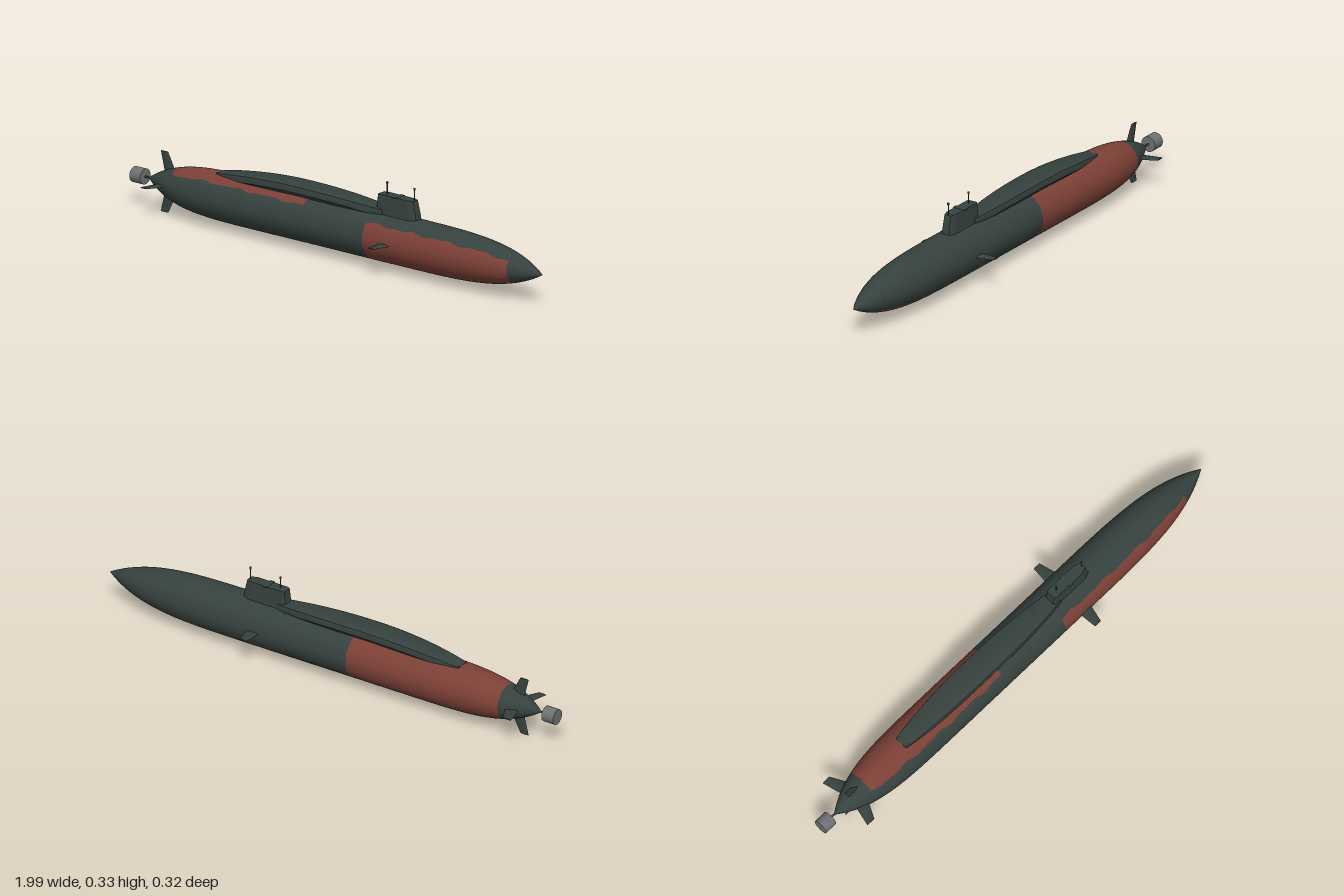
import * as THREE from 'three';
import { toCreasedNormals } from 'three/addons/utils/BufferGeometryUtils.js';

const AXIS_Y = 0.117, RADIUS = 0.094, STERN = -0.93, BOW = 0.99;

const material = (name, color) => {
  const m = new THREE.MeshStandardMaterial({ color });
  m.name = name;
  return m;
};

// Hull radius: parallel middle body, tapering to a point at each end
function hullRadius(x) {
  if (x > 0.2) return RADIUS * (1 - Math.min(1, (x - 0.2) / (BOW - 0.2)) ** 4.9);
  if (x < -0.3) return RADIUS * (1 - Math.min(1, (x + 0.3) / (STERN + 0.3)) ** 4.8);
  return RADIUS;
}

// Piece of hull skin between two stations and two (possibly wavy) angle edges
function hullSkin(x0, x1, from, to, nx = 48, na = 40) {
  const pos = [], nor = [], index = [];
  for (let i = 0; i <= nx; i++) {
    const x = x0 + (x1 - x0) * i / nx;
    const r = hullRadius(x), slope = (hullRadius(x + 0.001) - hullRadius(x - 0.001)) / 0.002;
    const a0 = from(x), a1 = to(x), len = Math.hypot(1, slope);
    for (let j = 0; j <= na; j++) {
      const a = a0 + (a1 - a0) * j / na, s = Math.sin(a), c = Math.cos(a);
      pos.push(x, AXIS_Y + r * s, r * c);
      nor.push(-slope / len, s / len, c / len);
      if (i < nx && j < na) {
        const p = i * (na + 1) + j, q = p + na + 1;
        index.push(p, q, q + 1, p, q + 1, p + 1);
      }
    }
  }
  const g = new THREE.BufferGeometry();
  g.setAttribute('position', new THREE.Float32BufferAttribute(pos, 3));
  g.setAttribute('normal', new THREE.Float32BufferAttribute(nor, 3));
  g.setIndex(index);
  return g;
}

// Closed solid through a row of equal-sized convex sections, each a list of [x, y, z]
function loft(sections, crease = 0.6) {
  const n = sections[0].length, pts = sections.flat(), tris = [];
  for (let s = 0; s < sections.length - 1; s++) {
    for (let k = 0; k < n; k++) {
      const a = s * n + k, b = s * n + (k + 1) % n;
      tris.push([a, b, b + n], [a, b + n, a + n]);
    }
  }
  const last = (sections.length - 1) * n;
  for (let k = 1; k < n - 1; k++) tris.push([0, k + 1, k], [last, last + k, last + k + 1]);
  // Turn the faces outward
  const v = i => new THREE.Vector3(...pts[i]);
  let volume = 0;
  for (const [a, b, c] of tris) volume += v(a).dot(v(b).cross(v(c)));
  if (volume < 0) tris.forEach(t => t.reverse());
  const g = new THREE.BufferGeometry();
  g.setAttribute('position', new THREE.Float32BufferAttribute(pts.flat(), 3));
  g.setIndex(tris.flat());
  return toCreasedNormals(g, crease);
}

// Swept fin pointing up from the hull axis; each end is [height, aft x, forward x, half thickness]
function finGeometry(root, tip) {
  return loft([root, tip].map(([y, x0, x1, t]) => {
    const d = (x1 - x0) * 0.25;
    return [[x0, y, 0], [x0 + d, y, t], [x1 - d, y, t], [x1, y, 0], [x1 - d, y, -t], [x0 + d, y, -t]];
  }));
}

export function createModel() {
  const model = new THREE.Group();
  model.name = 'submarine';
  const dark = material('darkHullGrey', 0x36423f);
  const red = material('rustRed', 0x7c4036);
  const grey = material('propulsorGrey', 0x6d7273);

  const add = (name, geometry, mat, parent = model) => {
    const m = new THREE.Mesh(geometry, mat);
    m.name = name;
    parent.add(m);
    return m;
  };

  // Hull: plain bands and two bands with a wavy-edged red panel
  const hull = new THREE.Group();
  hull.name = 'hull';
  model.add(hull);
  const deg = Math.PI / 180, turn = Math.PI * 2;
  const zero = () => 0, full = () => turn;
  const wave = x => (Math.sin(x * 38) * 2.2 + Math.sin(x * 71 + 1) * 1.6) * deg;
  add('sternCone', hullSkin(STERN, -0.78, zero, full), dark, hull);
  add('midBody', hullSkin(-0.12, 0.19, zero, full, 8), dark, hull);
  add('bowCone', hullSkin(0.86, BOW, zero, full), dark, hull);
  const panels = [
    ['aft', -0.78, -0.12, 45, 223],
    ['forward', 0.19, 0.86, -139, 42],
  ];
  for (const [name, x0, x1, a, b] of panels) {
    const lower = x => a * deg + wave(x), upper = x => b * deg + wave(x + 0.3);
    add(name + 'RedPanel', hullSkin(x0, x1, lower, upper, 72), red, hull);
    add(name + 'DarkSide', hullSkin(x0, x1, upper, x => lower(x) + turn, 72), dark, hull);
  }

  // Long arched casing on the back, widest amidships
  const casing = [];
  for (let i = 0; i <= 32; i++) {
    const x = -0.58 + 0.81 * i / 32;
    const u = x < -0.17 ? (x + 0.17) / 0.41 : (x + 0.17) / 0.4;
    const w = 0.052 - 0.024 * Math.abs(u) ** 2.4;
    const top = 0.245 - (x < -0.17 ? 0.034 : 0.016) * u * u;
    const half = [[w * 0.66, top - 0.045], [w * 0.8, top - 0.041], [w, top - 0.028],
      [w, top - 0.01], [w * 0.96, top - 0.004], [w * 0.82, top - 0.001]];
    const ring = [...half, ...half.map(([z, y]) => [-z, y]).reverse()];
    casing.push(ring.map(([z, y]) => [x, y, z]));
  }
  add('missileCasing', loft(casing, 0.5), dark);

  // Sail with chamfered ends
  const sailSection = (y, x0, x1, w) => [
    [x0, y, w * 0.8], [x0 + 0.008, y, w], [x1 - 0.025, y, w], [x1, y, w * 0.6],
    [x1, y, -w * 0.6], [x1 - 0.025, y, -w], [x0 + 0.008, y, -w], [x0, y, -w * 0.8],
  ];
  add('sail', loft([
    sailSection(0.19, 0.195, 0.388, 0.027),
    sailSection(0.225, 0.197, 0.383, 0.025),
    sailSection(0.282, 0.203, 0.37, 0.022),
  ], 0.3), dark);
  add('sailTopBar', new THREE.BoxGeometry(0.02, 0.003, 0.054), dark).position.set(0.285, 0.2815, 0);

  // Masts with small heads
  for (const x of [0.232, 0.365]) {
    const mast = new THREE.Group();
    mast.name = 'mast';
    mast.position.x = x;
    model.add(mast);
    add('mastPole', new THREE.CylinderGeometry(0.002, 0.002, 0.05, 10), dark, mast).position.y = 0.303;
    add('mastHead', new THREE.CylinderGeometry(0.004, 0.004, 0.008, 12), dark, mast).position.y = 0.325;
  }

  // Four stern fins and two bow planes, turned about the hull axis
  const sternFin = finGeometry([0.03, -0.85, -0.79, 0.004], [0.117, -0.872, -0.836, 0.002]);
  const bowPlane = finGeometry([0.08, 0.268, 0.325, 0.004], [0.16, 0.275, 0.305, 0.002]);
  for (let k = 0; k < 4; k++) {
    const fin = add('sternFin', sternFin, dark);
    fin.position.y = AXIS_Y;
    fin.rotation.x = k * Math.PI / 2;
  }
  for (const side of [1, -1]) {
    const plane = add('bowPlane', bowPlane, dark);
    plane.position.y = AXIS_Y;
    plane.rotation.x = side * Math.PI / 2;
  }

  // Shaft and propulsor drum
  const shaft = add('propellerShaft', new THREE.CylinderGeometry(0.004, 0.004, 0.06, 12), dark);
  shaft.rotation.z = Math.PI / 2;
  shaft.position.set(-0.93, AXIS_Y, 0);
  const drum = add('propulsorDrum', new THREE.CylinderGeometry(0.03, 0.03, 0.052, 32), grey);
  drum.rotation.z = Math.PI / 2;
  drum.position.set(-0.974, AXIS_Y, 0);

  return model;
}
